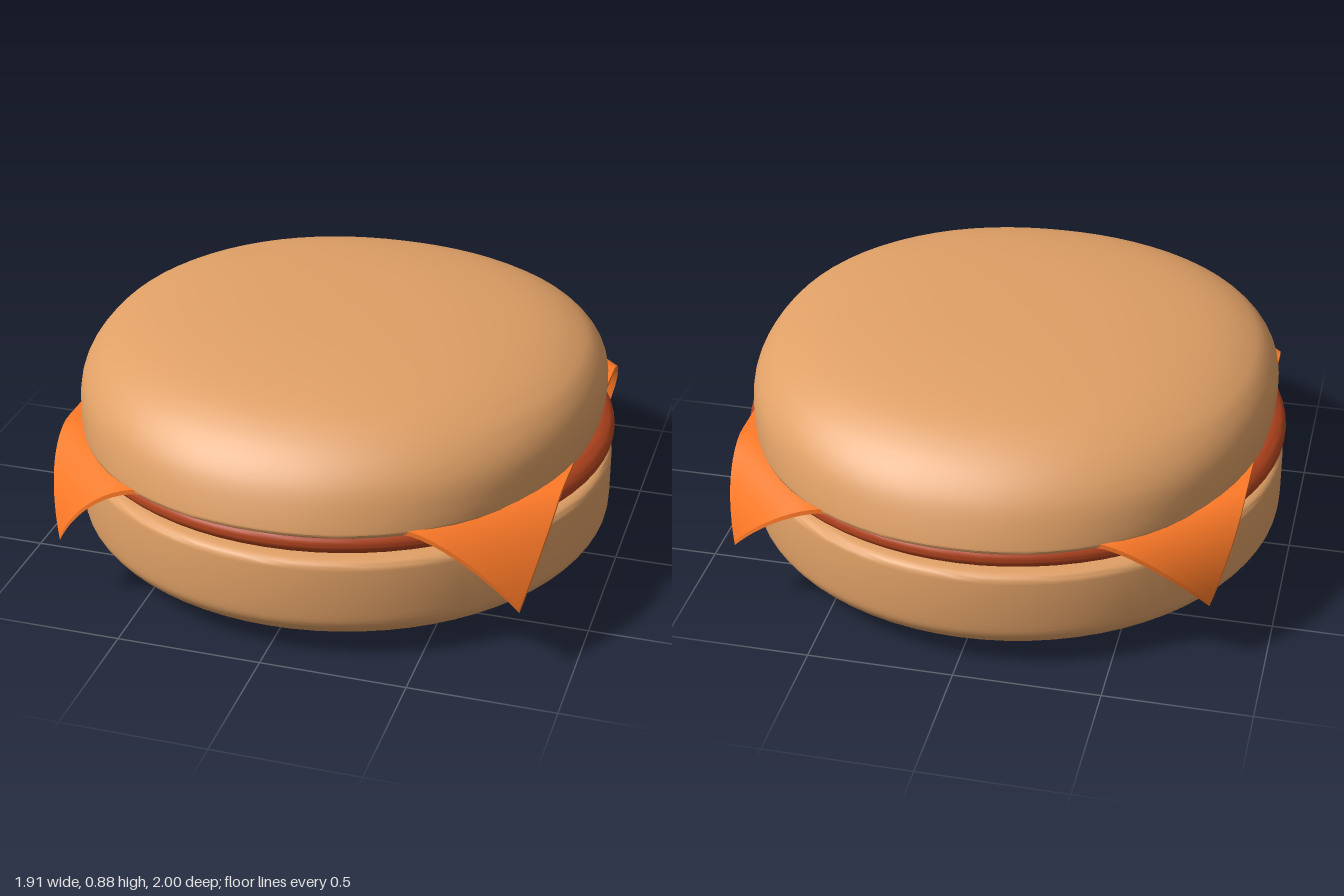
import * as THREE from 'three';
import { toCreasedNormals } from 'three/addons/utils/BufferGeometryUtils.js';

const bunMat = new THREE.MeshStandardMaterial({ color: 0xe0a066 });
const pattyMat = new THREE.MeshStandardMaterial({ color: 0xb5451f });
const cheeseMat = new THREE.MeshStandardMaterial({ color: 0xff7a28 });

// Smooth curve through [radius, height] points, listed from bottom to top
function smooth(points, n = 36) {
  return new THREE.SplineCurve(points.map(p => new THREE.Vector2(...p))).getPoints(n)
    .map(p => p.setX(Math.max(p.x, 0)));
}

// Move every vertex by a rule
function deform(geometry, rule) {
  const pos = geometry.attributes.position;
  const v = new THREE.Vector3();
  for (let i = 0; i < pos.count; i++) {
    rule(v.fromBufferAttribute(pos, i));
    pos.setXYZ(i, v.x, v.y, v.z);
  }
  geometry.computeVertexNormals();
  return geometry;
}

function addMesh(group, name, geometry, material) {
  const mesh = new THREE.Mesh(geometry, material);
  mesh.name = name;
  group.add(mesh);
}

const round = profile => new THREE.LatheGeometry(profile, 72);

export function createModel() {
  const group = new THREE.Group();
  group.name = 'burger';

  // Bottom bun: straight wall, softly rounded base
  const bottom = [
    new THREE.Vector2(0, 0.003),
    ...smooth([[0.3, 0.006], [0.6, 0.02], [0.78, 0.042], [0.89, 0.08], [0.94, 0.13], [0.95, 0.18]], 24),
    ...smooth([[0.95, 0.345], [0.943, 0.365], [0.92, 0.377], [0.88, 0.38]], 8),
    new THREE.Vector2(0, 0.38),
  ];
  addMesh(group, 'bottomBun', toCreasedNormals(round(bottom), 0.7), bunMat);

  // Patty: flat disc with a bulging rim
  const patty = [
    new THREE.Vector2(0, 0.375),
    ...smooth([[0.82, 0.375], [0.9, 0.39], [0.945, 0.42], [0.955, 0.447],
      [0.94, 0.475], [0.9, 0.495], [0.82, 0.5]], 24),
    new THREE.Vector2(0, 0.5),
  ];
  addMesh(group, 'patty', toCreasedNormals(round(patty), 0.7), pattyMat);

  // Cheese slice: thin square whose corners droop, each to its own tip
  const half = 0.88;
  const slice = new THREE.BoxGeometry(half * 2, 0.016, half * 2, 48, 1, 48);
  deform(slice, v => {
    const sx = Math.sign(v.x), sz = Math.sign(v.z);
    const t = Math.max(0, (Math.abs(v.x) + Math.abs(v.z) - 1.34) / 0.42);
    const tipX = sx > 0 ? 0.825 : (sz > 0 ? 0.775 : 0.81);
    const tipZ = sz > 0 ? 0.815 : 0.75;
    v.x -= sx * (half - tipX) * t * t;
    v.z -= sz * (half - tipZ) * t * t;
    v.y += 0.507 - 0.265 * Math.pow(t, 1.5);
  });
  addMesh(group, 'cheeseSlice', slice, cheeseMat);

  // Top bun: dome, longer in z, with steeper walls on the left and right
  const top = [
    new THREE.Vector2(0, 0.49),
    ...smooth([[0.9, 0.49], [0.975, 0.49], [0.998, 0.505]], 8),
    ...smooth([[0.998, 0.51], [0.985, 0.55], [0.96, 0.61], [0.93, 0.66], [0.885, 0.71], [0.82, 0.76],
      [0.73, 0.805], [0.6, 0.84], [0.4, 0.866], [0.2, 0.877], [0, 0.88]], 40),
  ];
  const dome = deform(round(top), v => {
    const r = Math.hypot(v.x, v.z);
    if (r > 0) {
      // Slightly squared oval outline
      const n = 2.15;
      const k = Math.pow(Math.pow(Math.abs(v.x / r), n) + Math.pow(Math.abs(v.z / r), n), -1 / n);
      v.x *= k * Math.min(0.905 + 0.45 * Math.max(v.y - 0.5, 0), 1.02);
      v.z *= k;
    }
  });
  addMesh(group, 'topBun', toCreasedNormals(dome, 0.8), bunMat);

  return group;
}
